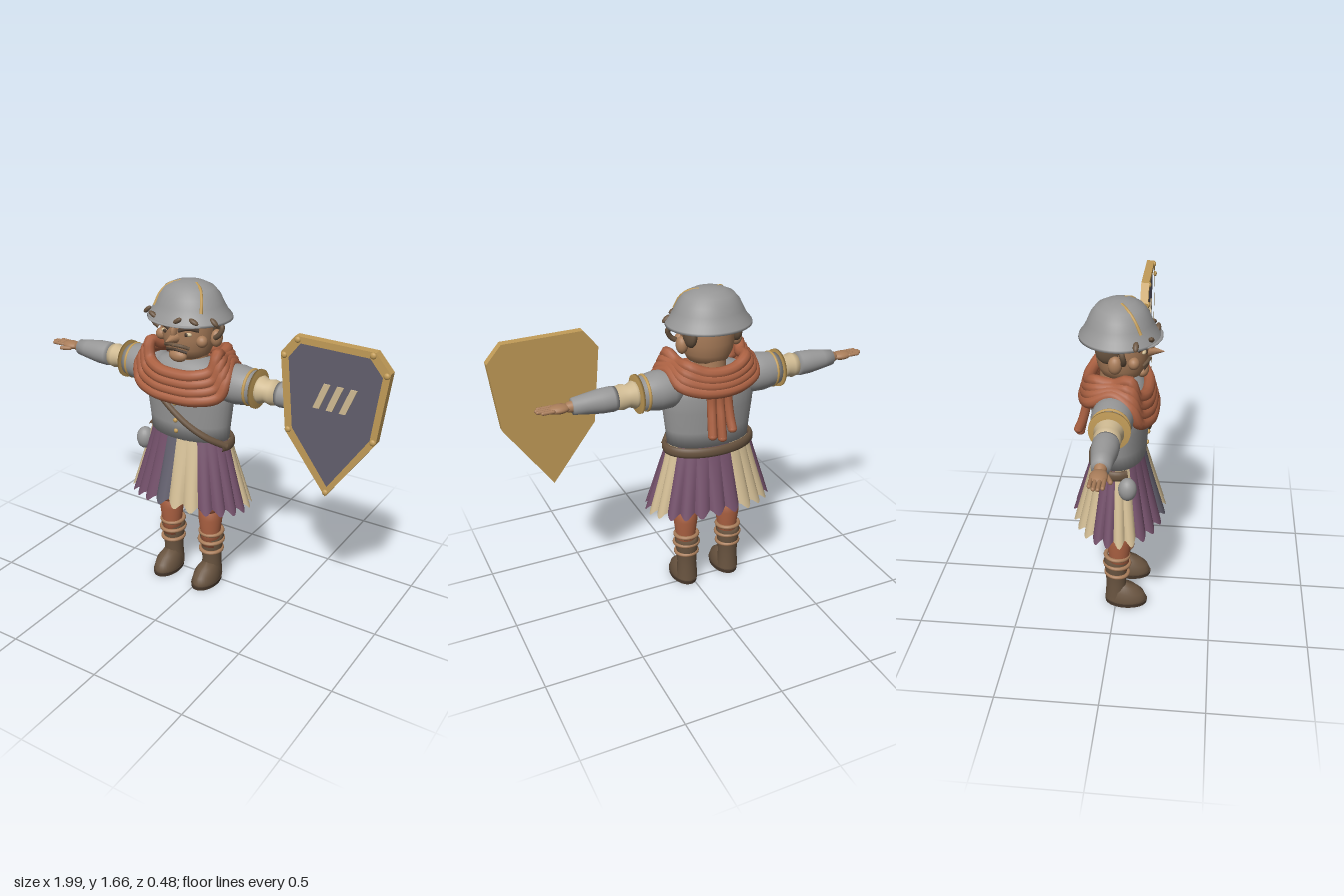
import * as THREE from 'three';

const mat = (name, color, double) => {
  const m = new THREE.MeshStandardMaterial({ color });
  m.name = name;
  if (double) m.side = THREE.DoubleSide;
  return m;
};

export function createModel() {
  const M = {
    steel: mat('steel', 0x979797), gold: mat('gold', 0xc29c58), skin: mat('skin', 0xa97d5a),
    rust: mat('rust cloth', 0xab6142), plum: mat('plum cloth', 0x73506a, true),
    cream: mat('cream cloth', 0xd0bb93, true), slate: mat('slate', 0x625f6d, true),
    brown: mat('brown leather', 0x695440), dark: mat('dark brown', 0x4a3a2d),
  };
  const V = (x, y, z) => new THREE.Vector3(x, y, z);
  const root = new THREE.Group();
  root.name = 'soldier';
  const body = new THREE.Group();
  body.name = 'body';
  body.position.x = -0.095;
  root.add(body);

  // Helpers
  const add = (parent, name, geo, m, x = 0, y = 0, z = 0) => {
    const mesh = new THREE.Mesh(geo, m);
    mesh.name = name;
    mesh.position.set(x, y, z);
    parent.add(mesh);
    return mesh;
  };
  const lathe = (pts, sz = 1, seg = 36) =>
    new THREE.LatheGeometry(pts.map(p => new THREE.Vector2(p[0], p[1])), seg).scale(1, 1, sz);
  const ball = (rx, ry, rz) => new THREE.SphereGeometry(1, 20, 14).scale(rx, ry, rz);
  const tube = (pts, r, closed = false, seg = 24) =>
    new THREE.TubeGeometry(new THREE.CatmullRomCurve3(pts.map(p => V(...p)), closed), seg, r, 10, closed);
  const ring = (R, r) => new THREE.TorusGeometry(R, r, 10, 28).rotateX(Math.PI / 2);

  // Breastplate with buttons
  add(body, 'breastplate', lathe([[0, 0.86], [0.222, 0.86], [0.232, 0.95], [0.245, 1.06], [0.25, 1.14],
    [0.23, 1.21], [0.16, 1.26], [0.08, 1.28], [0, 1.28]], 0.58), M.steel, 0, 0, 0.012);
  for (const [y, z] of [[1.07, 0.156], [0.975, 0.15], [0.915, 0.145]])
    add(body, 'button', ball(0.012, 0.012, 0.01), M.gold, 0, y, z);
  const strap = tube([[-0.12, 1.12, 0.14], [-0.05, 1.06, 0.152], [0.06, 0.97, 0.143], [0.16, 0.9, 0.108], [0.235, 0.845, 0.04]], 0.018);
  add(body, 'chestStrap', strap, M.brown);

  // Pleated skirt, one strip per pleat
  const cloth = { P: M.plum, C: M.cream, S: M.slate };
  const skirt = new THREE.Group();
  skirt.name = 'skirt';
  body.add(skirt);
  [...'PPCCCPPPPPCCPPPPCCSPPPCC'].forEach((c, i) => {
    const geo = new THREE.PlaneGeometry(1, 1, 8, 6), p = geo.attributes.position;
    for (let k = 0; k < p.count; k++) {
      const u = p.getX(k) + 0.5, t = 0.5 - p.getY(k);
      const a = -Math.PI + (i + u) * Math.PI / 12;
      const bump = t * (0.028 * Math.sin(Math.PI * u) - 0.006);
      const rx = 0.226 + 0.1 * t + bump, rz = 0.133 + 0.085 * t + bump;
      const hem = 0.54 - 0.035 * Math.abs(Math.cos(a)) + 0.015 * Math.cos(2 * Math.PI * u);
      p.setXYZ(k, rx * Math.cos(a), 0.87 + (hem - 0.87) * t, 0.008 + rz * Math.sin(a));
    }
    // The angle runs clockwise seen from outside, so turn the faces round
    geo.index.array.reverse();
    geo.computeVertexNormals();
    add(skirt, 'pleat', geo, cloth[c]);
  });

  // Belt round the back and hip flask
  const beltPts = [];
  for (let i = 0; i <= 16; i++) {
    const a = 0.4 - i / 16 * (Math.PI + 0.8);
    beltPts.push([0.236 * Math.cos(a), 0, 0.008 + 0.142 * Math.sin(a)]);
  }
  add(body, 'belt', tube(beltPts, 0.015, false, 48).scale(1, 1.9, 1), M.brown, 0, 0.845, 0);
  add(body, 'hipFlask', ball(0.046, 0.06, 0.046), M.steel, -0.25, 0.785, 0.07);

  // Scarf: rope-like folds round the shoulders with hanging ends
  const scarf = new THREE.Group();
  scarf.name = 'scarf';
  body.add(scarf);
  for (let k = 0; k < 4; k++) {
    const half = [[0.13, 1.115, 0.165], [0.235, 1.145, 0.12], [0.255, 1.225, 0.085], [0.225, 1.275, 0], [0.2, 1.225, -0.105], [0.11, 1.195, -0.15]];
    const f = 1 - 0.075 * k;
    const place = ([x, y, z]) => [x * f, y + 0.038 * k * (Math.abs(z) > 0.05 ? 1 : 0.3) * (z < 0 ? 0.8 : 1), z * (1 - 0.05 * k)];
    const pts = [[0, 1.108, 0.175], ...half, [0, 1.185, -0.165],
      ...half.slice().reverse().map(([x, y, z]) => [-x, y, z])].map(place);
    add(scarf, 'scarfFold', tube(pts, 0.03, true, 80), M.rust);
  }
  for (const [x, end] of [[-0.03, 0.99], [0.015, 0.95], [0.06, 0.97]]) {
    add(scarf, 'scarfEnd', tube([[x, 1.21, -0.15], [x, 1.12, -0.155], [x * 1.1, 1.04, -0.175], [x * 1.2, end, -0.195]], 0.024), M.rust);
    add(scarf, 'scarfTip', ball(0.024, 0.02, 0.024), M.rust, x * 1.2, end, -0.195);
  }

  // Arms, built along their own y axis and turned outward
  for (const s of [1, -1]) {
    const arm = new THREE.Group();
    arm.name = s > 0 ? 'leftArm' : 'rightArm';
    arm.position.y = 1.18;
    arm.rotation.z = -s * Math.PI / 2;
    body.add(arm);
    add(arm, 'shoulderPlate', lathe([[0, 0.14], [0.075, 0.16], [0.098, 0.22], [0.1, 0.29], [0.09, 0.35], [0.08, 0.39], [0, 0.39]]), M.steel);
    add(arm, 'shoulderBand', ring(0.087, 0.008), M.gold, 0, 0.352);
    add(arm, 'shoulderRim', lathe([[0, 0.383], [0.098, 0.383], [0.098, 0.395], [0, 0.395]]), M.gold);
    add(arm, 'sleeve', lathe([[0.06, 0.39], [0.07, 0.41], [0.056, 0.44], [0.064, 0.47], [0.054, 0.515], [0, 0.515]]), M.cream);
    add(arm, 'forearmGuard', lathe([[0, 0.5], [0.058, 0.5], [0.063, 0.52], [0.061, 0.58], [0.05, 0.66], [0.041, 0.72], [0, 0.725]]), M.steel);
    add(arm, 'wrist', lathe([[0.03, 0.71], [0.024, 0.745], [0, 0.76]]), M.skin);
    add(arm, 'palm', ball(0.022, 0.055, 0.04), M.skin, 0, 0.785);
    for (let i = 0; i < 4; i++) {
      const z = (i - 1.5) * 0.019, len = [0.05, 0.07, 0.072, 0.06][i];
      add(arm, 'finger', new THREE.CapsuleGeometry(0.0095, len, 4, 8), M.skin, -s * 0.004, 0.82 + len / 2, z);
    }
    const thumb = add(arm, 'thumb', new THREE.CapsuleGeometry(0.011, 0.045, 4, 8), M.skin, s * 0.008, 0.79, 0.044);
    thumb.rotation.x = 0.4;
  }

  // Legs and boots
  for (const s of [1, -1]) {
    const leg = new THREE.Group();
    leg.name = s > 0 ? 'leftLeg' : 'rightLeg';
    leg.position.x = 0.125 * s;
    body.add(leg);
    add(leg, 'thigh', lathe([[0, 0.46], [0.06, 0.46], [0.072, 0.52], [0.082, 0.62], [0.085, 0.8], [0, 0.82]]), M.rust, 0, 0, 0.015);
    add(leg, 'knee', ball(0.07, 0.066, 0.066), M.rust, 0, 0.485, 0.033);
    add(leg, 'calf', lathe([[0, 0.22], [0.05, 0.22], [0.054, 0.3], [0.065, 0.39], [0.06, 0.48], [0, 0.5]]), M.rust, 0, 0, 0.015);
    add(leg, 'bootShaft', lathe([[0.058, 0.03], [0.052, 0.12], [0.056, 0.19], [0.065, 0.265], [0.05, 0.27], [0, 0.265]]), M.brown);
    for (const [y, R] of [[0.3, 0.06], [0.25, 0.064], [0.19, 0.058]])
      add(leg, 'legBand', ring(R, 0.011), M.skin, 0, y, 0.005).rotation.x = 0.06;
    // Foot: half dome lowered toward the toe
    const foot = lathe([[0.98, 0], [1, 0.2], [0.88, 0.6], [0.55, 0.9], [0, 1]]), p = foot.attributes.position;
    for (let k = 0; k < p.count; k++) {
      const z = p.getZ(k);
      p.setXYZ(k, p.getX(k) * 0.066, 0.018 + p.getY(k) * (0.1 - 0.03 * z), z * 0.108);
    }
    foot.computeVertexNormals();
    add(leg, 'foot', foot, M.brown, 0, 0, 0.052);
    add(leg, 'sole', new THREE.CylinderGeometry(0.07, 0.068, 0.02, 32).scale(1, 1, 1.62), M.dark, 0, 0.01, 0.053);
  }

  // Head
  const head = new THREE.Group();
  head.name = 'head';
  body.add(head);
  add(head, 'neck', new THREE.CylinderGeometry(0.075, 0.085, 0.14, 28), M.skin, 0, 1.27, -0.01);
  add(head, 'skull', lathe([[0, 1.275], [0.06, 1.28], [0.105, 1.305], [0.125, 1.345], [0.135, 1.4], [0.138, 1.47], [0.13, 1.54], [0, 1.56]], 0.95), M.skin, 0, 0, 0.018);
  add(head, 'chin', ball(0.05, 0.032, 0.03), M.skin, 0, 1.312, 0.118);
  const nose = new THREE.ConeGeometry(0.034, 0.1, 16).rotateX(Math.PI / 2);
  add(head, 'nose', nose, M.skin, 0, 1.412, 0.175);
  add(head, 'noseBridge', ball(0.016, 0.04, 0.025), M.skin, 0, 1.445, 0.148);
  add(head, 'lips', tube([[-0.06, 1.338, 0.125], [0, 1.35, 0.143], [0.06, 1.338, 0.125]], 0.007), M.dark);
  for (const s of [1, -1]) {
    add(head, 'cheek', ball(0.03, 0.03, 0.028), M.skin, 0.118 * s, 1.395, 0.085);
    add(head, 'moustache', tube([[0, 1.376, 0.152], [0.035 * s, 1.374, 0.145], [0.07 * s, 1.36, 0.122]], 0.009), M.brown);
    add(head, 'eye', ball(0.022, 0.011, 0.012), M.cream, 0.066 * s, 1.434, 0.128);
    add(head, 'pupil', ball(0.009, 0.01, 0.005), M.dark, 0.062 * s, 1.434, 0.139);
    add(head, 'eyebrow', tube([[0.025 * s, 1.452, 0.15], [0.07 * s, 1.465, 0.135], [0.11 * s, 1.452, 0.1]], 0.009), M.dark);
    add(head, 'ear', ball(0.03, 0.045, 0.034), M.skin, 0.148 * s, 1.395, 0);
    add(head, 'sideHair', ball(0.03, 0.065, 0.06), M.brown, 0.122 * s, 1.455, -0.035);
    add(head, 'hairLock', tube([[0.19 * s, 1.495, 0.03], [0.205 * s, 1.465, 0.04], [0.19 * s, 1.43, 0.045], [0.165 * s, 1.41, 0.04]], 0.013), M.brown);
  }

  // Helmet with brim, gold ribs and loose locks
  const helmet = new THREE.Group();
  helmet.name = 'helmet';
  body.add(helmet);
  add(helmet, 'helmetShell', lathe([[0, 1.5], [0.16, 1.495], [0.205, 1.482], [0.219, 1.486], [0.216, 1.498], [0.193, 1.525], [0.174, 1.56],
    [0.155, 1.6], [0.125, 1.635], [0.08, 1.656], [0.035, 1.664], [0, 1.665]], 0.9, 48), M.steel, 0, 0, 0.008);
  add(helmet, 'visor', ball(0.16, 0.012, 0.09), M.steel, 0, 1.49, 0.125);
  for (const s of [1, -1])
    add(helmet, 'helmetRib', tube([[0.045 * s, 1.657, 0.02], [0.09 * s, 1.642, 0.055], [0.118 * s, 1.605, 0.088], [0.135 * s, 1.545, 0.118]], 0.008), M.gold);
  for (const [x, y, z, r] of [[-0.19, 1.51, 0.1, 0.7], [-0.11, 1.515, 0.165, -0.5], [0.045, 1.515, 0.186, 0.6], [0.12, 1.515, 0.16, -0.4], [0.19, 1.505, 0.09, -0.7]])
    add(helmet, 'looseLock', ball(0.027, 0.012, 0.014), M.brown, x, y, z).rotation.z = r;

  // Shield: gold backing and raised rim, slate field, cream bars, rivets
  const shield = new THREE.Group();
  shield.name = 'shield';
  root.add(shield);
  const outline = [[0.53, 1.525], [0.92, 1.52], [0.995, 1.435], [0.953, 1.09], [0.723, 0.757], [0.497, 1.05], [0.46, 1.435]];
  const inset = outline.map(([x, y]) => [0.725 + (x - 0.725) * 0.87, 1.21 + (y - 1.21) * 0.9]);
  const poly = pts => new THREE.Shape(pts.map(p => new THREE.Vector2(p[0], p[1])));
  const slab = (shape, depth) => new THREE.ExtrudeGeometry(shape, { depth, bevelEnabled: false });
  add(shield, 'shieldBacking', slab(poly(outline), 0.022), M.gold, 0, 0, 0.056);
  const rim = poly(outline);
  rim.holes.push(poly(inset));
  add(shield, 'shieldRim', slab(rim, 0.02), M.gold, 0, 0, 0.078);
  add(shield, 'shieldField', slab(poly(inset), 0.008), M.slate, 0, 0, 0.078);
  for (let i = 0; i < 3; i++) {
    const x = 0.63 + 0.066 * i;
    add(shield, 'shieldBar', slab(poly([[x, 1.195], [x + 0.032, 1.195], [x + 0.082, 1.322], [x + 0.05, 1.322]]), 0.006), M.cream, 0, 0, 0.086);
  }
  outline.forEach(([x, y], i) =>
    add(shield, 'rivet', ball(0.015, 0.015, 0.01), M.gold, (x + inset[i][0]) / 2, (y + inset[i][1]) / 2, 0.099));

  return root;
}
